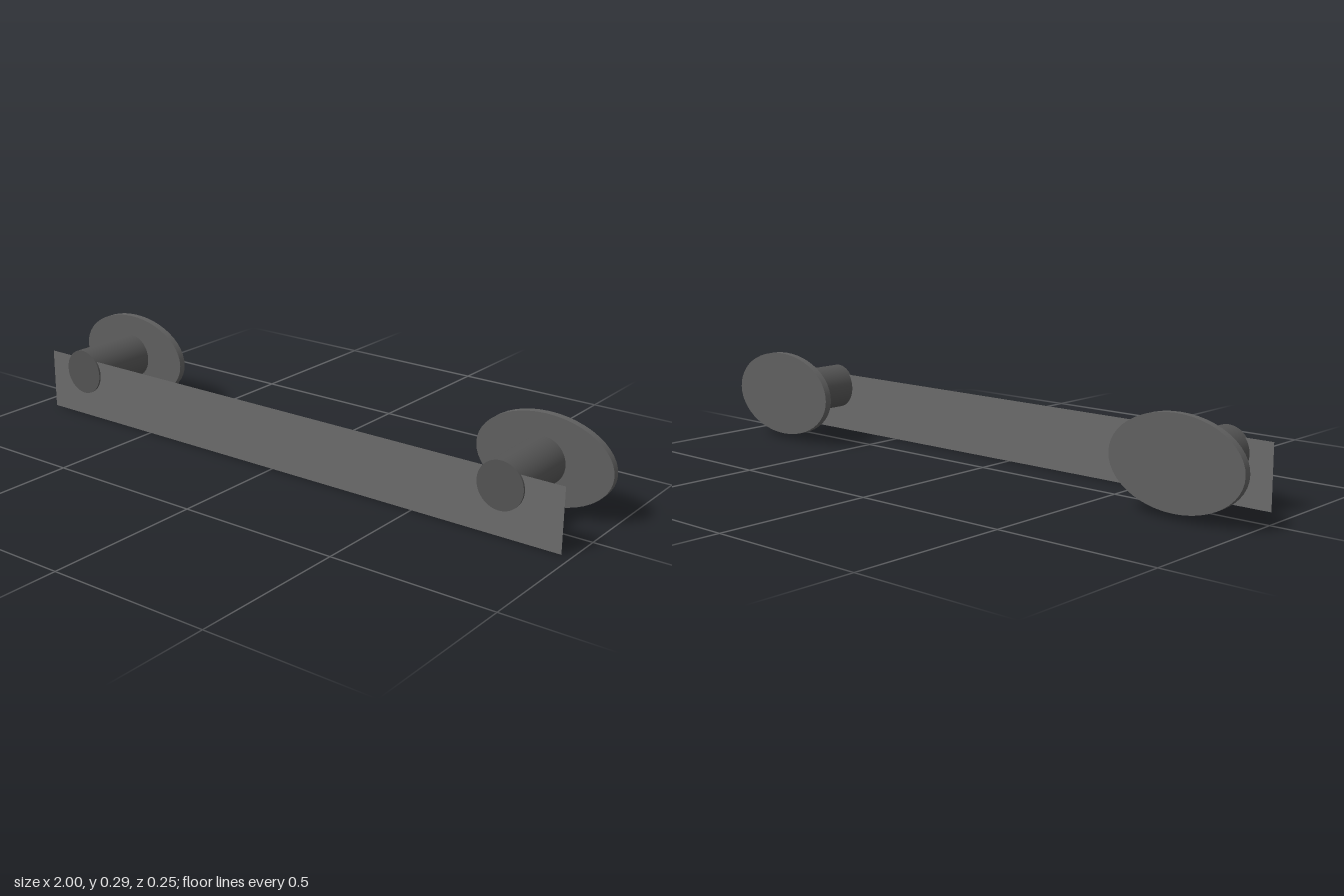
import * as THREE from 'three';

export function createModel() {
  const model = new THREE.Group();
  const plateMaterial = new THREE.MeshStandardMaterial({ color: 0x606060 });
  const postMaterial = new THREE.MeshStandardMaterial({ color: 0x545454 });
  const barMaterial = new THREE.MeshStandardMaterial({ color: 0x6b6b6b, side: THREE.DoubleSide });

  // Cylinder lying along z, from zBack to zFront, with an elliptical section
  const rod = (name, material, rx, ry, zBack, zFront, y) => {
    const geometry = new THREE.CylinderGeometry(1, 1, zFront - zBack, 48);
    geometry.rotateX(Math.PI / 2).scale(rx, ry, 1);
    const mesh = new THREE.Mesh(geometry, material);
    mesh.name = name;
    mesh.position.set(0, y, (zBack + zFront) / 2);
    return mesh;
  };

  // Two mounts: an oval wall plate with a round post
  for (const [name, x] of [['rightMount', -0.785], ['leftMount', 0.784]]) {
    const mount = new THREE.Group();
    mount.name = name;
    mount.position.x = x;
    const plate = rod('wallPlate', plateMaterial, 0.215, 0.135, -0.126, -0.104, 0.153);
    const post = rod('post', postMaterial, 0.072, 0.072, -0.105, 0.126, 0.149);
    post.position.x = -0.003;
    mount.add(plate, post);
    model.add(mount);
  }

  // Thin flat bar just behind the post ends
  const bar = new THREE.Mesh(new THREE.PlaneGeometry(1.904, 0.193), barMaterial);
  bar.name = 'bar';
  bar.position.set(0.018, 0.0965, 0.12);
  model.add(bar);

  return model;
}
